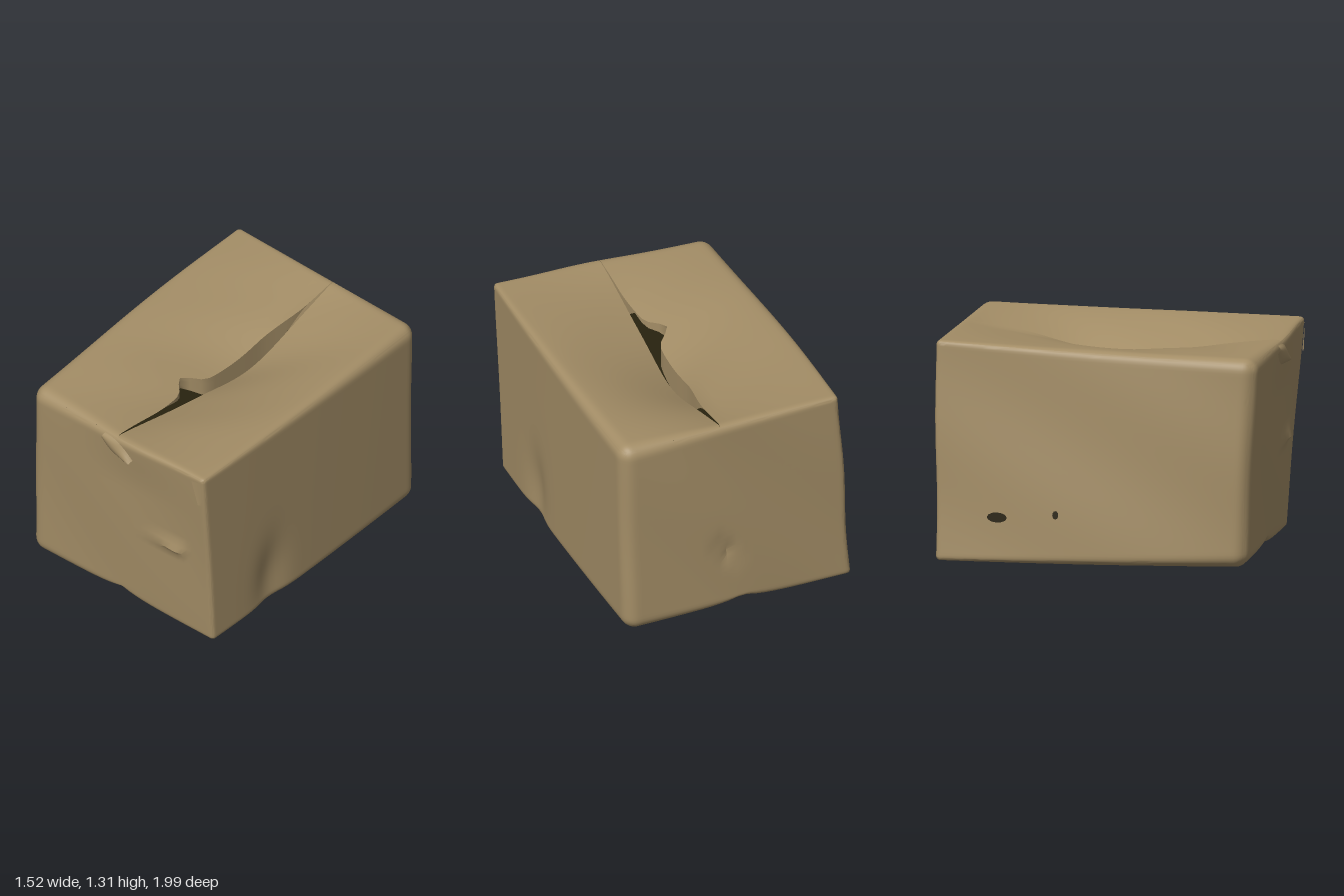
import * as THREE from 'three';
import { mergeVertices, toCreasedNormals } from 'three/addons/utils/BufferGeometryUtils.js';

const HALF = [0.7, 0.64, 0.93];
const gauss = (d, w) => Math.exp(-((d / w) ** 2));
const step = THREE.MathUtils.smoothstep;
const lerp = THREE.MathUtils.lerp;
const ease = (c) => Math.sin((c * Math.PI) / 2);

// Skewed carton corners, keyed by the signs of x, y, z
const CORNERS = {
  '-1,-1,-1': [-0.71, 0.03, -0.99], '1,-1,-1': [0.725, 0.01, -0.97],
  '-1,-1,1': [-0.71, 0.035, 0.85], '1,-1,1': [0.67, 0.02, 0.87],
  '-1,1,-1': [-0.63, 1.325, -1.0], '1,1,-1': [0.75, 1.305, -0.95],
  '-1,1,1': [-0.67, 1.265, 0.9], '1,1,1': [0.68, 1.275, 0.975],
};

// Maps a point of the unit cube (-1..1) onto the battered carton
function warp(px, py, pz) {
  const p = [px, py, pz];
  const r = 0.055 - 0.03 * px * pz;
  const inner = p.map((c, i) => THREE.MathUtils.clamp(c * HALF[i], r - HALF[i], HALF[i] - r));
  const d = p.map((c, i) => c * HALF[i] - inner[i]);
  const len = Math.hypot(...d) || 1;
  const [u, v, w] = inner.map((c, i) => (c + (d[i] * r) / len) / HALF[i]);
  let x = 0, y = 0, z = 0;
  for (const key in CORNERS) {
    const [a, b, c] = key.split(',').map(Number);
    const k = ((1 + a * u) * (1 + b * v) * (1 + c * w)) / 8;
    x += k * CORNERS[key][0];
    y += k * CORNERS[key][1];
    z += k * CORNERS[key][2];
  }
  const right = step(u, 0.85, 1), left = step(-u, 0.85, 1);
  const front = step(w, 0.85, 1), back = step(-w, 0.85, 1), under = step(-v, 0.85, 1);
  // Bulged sides, with a dent low on one of them
  x += right * (0.012 * (1 - w * w) - 0.035 * gauss(z - 0.35, 0.12) * gauss(y - 0.2, 0.25));
  x -= left * (0.05 * (1 - w * w) * (1 - 0.6 * v) * 0.75 + 0.005 * Math.sin(7 * y + 4 * z));
  // Front: pinched ridge and lifted upper edge
  const ridge = step(x, 0.12, 0.45) * (1 - step(x, 0.46, 0.5));
  z += front * (0.035 * ridge * gauss(y - 0.62, 0.03) + 0.02 * gauss(x - 0.1, 0.3) * step(v, 0.4, 1));
  z += front * 0.006 * Math.sin(5 * x + 3 * y) * (1 - v * v);
  // Back: shallow creases
  z += back * (0.03 * gauss(x - 0.08 - (y - 0.4) * 0.4, 0.04) * gauss(y - 0.42, 0.1)
    + 0.008 * Math.sin(6 * x - 4 * y) * (1 - v * v));
  // Underside: two flaps meeting at a raised seam
  y += under * (0.035 * Math.exp(-Math.abs(x) / 0.1) + (x < -0.001 ? 0.018 * Math.exp(x / 0.15) : 0));
  return [x, y, z];
}

// Grid surface from a rule; faces along dt x ds
function sheet(ns, nt, fn) {
  const pos = [], index = [];
  for (let j = 0; j <= nt; j++) {
    for (let i = 0; i <= ns; i++) pos.push(...fn(i / ns, j / nt));
  }
  for (let j = 0; j < nt; j++) {
    for (let i = 0; i < ns; i++) {
      const a = j * (ns + 1) + i, b = a + ns + 1;
      index.push(a, b, a + 1, b, b + 1, a + 1);
    }
  }
  const g = new THREE.BufferGeometry();
  g.setAttribute('position', new THREE.Float32BufferAttribute(pos, 3));
  g.setIndex(index);
  g.computeVertexNormals();
  return g;
}

// Edges of the slit between the top flaps, by z
function slitLeft(z) {
  const gap = 0.045 * step(z, -0.68, -0.3) * (1 - step(z, 0.25, 0.65));
  return slitRight(z) - gap - 0.1 * gauss(z - 0.24, 0.075);
}
function slitRight(z) {
  return 0.07 - 0.05 * step(z, -0.6, 0.8);
}

// Sagging top flap point; u is the cube x
function topPoint(u, w, depth, centre) {
  const p = warp(u, 1, w);
  const along = Math.max(0, 1 - w * w) * (0.6 + 0.4 * gauss(w - centre, 0.5));
  p[1] -= depth * along * Math.max(0, 1 - Math.abs(u)) ** 1.5;
  p[1] += 0.004 * Math.sin(9 * w + 5 * u) * (1 - w * w) * (1 - u * u);
  return p;
}

export function createModel() {
  const model = new THREE.Group();
  const cardboard = new THREE.MeshStandardMaterial({ color: 0xa38d66, side: THREE.DoubleSide });
  cardboard.name = 'cardboard';
  const shade = new THREE.MeshStandardMaterial({ color: 0x28220f, side: THREE.DoubleSide });
  shade.name = 'darkInside';
  const add = (name, geometry, material = cardboard) => {
    const mesh = new THREE.Mesh(geometry, material);
    mesh.name = name;
    model.add(mesh);
    return mesh;
  };

  // Walls and underside: a warped box without its top
  let body = new THREE.BoxGeometry(2, 2, 2, 40, 48, 60);
  const lid = body.groups[2];
  body.setIndex([...body.index.array].filter((_, i) => i < lid.start || i >= lid.start + lid.count));
  body.clearGroups();
  body.deleteAttribute('normal');
  body.deleteAttribute('uv');
  body = mergeVertices(body);
  const pos = body.attributes.position;
  for (let i = 0; i < pos.count; i++) {
    pos.setXYZ(i, ...warp(ease(pos.getX(i)), ease(pos.getY(i)), ease(pos.getZ(i))));
  }
  add('boxWalls', toCreasedNormals(body, 0.7));

  // Top flaps, sagging toward the open slit
  const rowZ = (t) => ease(2 * t - 1);
  const leftEdge = (w) => slitLeft(w * HALF[2]) / HALF[0] - 0.02;
  const rightEdge = (w) => slitRight(w * HALF[2]) / HALF[0] - 0.02;
  add('topFlapRight', sheet(24, 60, (s, t) => {
    const w = rowZ(t);
    return topPoint(lerp(-1, leftEdge(w), 1 - Math.cos((s * Math.PI) / 2)), w, 0.13, 0);
  }));
  add('topFlapLeft', sheet(24, 60, (s, t) => {
    const w = rowZ(t);
    return topPoint(lerp(rightEdge(w), 1, Math.sin((s * Math.PI) / 2)), w, 0.23, -0.25);
  }));

  // Bent lip hanging from one flap into the slit
  add('slitLip', sheet(3, 60, (s, t) => {
    const w = rowZ(t);
    const p = topPoint(leftEdge(w), w, 0.13, 0);
    p[1] -= s * 0.16 * step(w, -0.75, -0.4) * (1 - step(w, -0.1, 0.6));
    return p;
  }));

  // Dark interior below the slit
  const inside = add('darkInterior', new THREE.PlaneGeometry(1.2, 1.7), shade);
  inside.rotation.x = -Math.PI / 2;
  inside.position.y = 0.88;

  // Torn, curled tongue at the top of the front
  add('tornTongue', sheet(12, 6, (s, t) => {
    const half = 0.012 + 0.04 * Math.sin(Math.PI * Math.min(1, s * 0.85 + 0.1));
    const x = -0.1 + 0.22 * s + (t - 0.5) * -half;
    const y = 1.235 - 0.1 * s - (t - 0.5) * 2 * half;
    const p = warp(x / 0.68, (y - 0.65) / 0.63, 1);
    p[2] += 0.002 + 0.035 * Math.sin(Math.PI * t) * (0.3 + 0.7 * s);
    return p;
  }));

  // Folded tab at the upper front corner
  add('cornerTab', sheet(3, 8, (s, t) => {
    const p = warp(lerp(0.88 + 0.06 * t, 0.97, s), lerp(0.95, 0.68, t), 1);
    p[2] += 0.012 * (1 - s) + 0.004;
    return p;
  }));

  // Small punctures low on one side
  for (const [z, y, rz, ry] of [[-0.61, 0.3, 0.06, 0.03], [-0.26, 0.33, 0.018, 0.025]]) {
    add('puncture', sheet(4, 12, (s, t) => {
      const a = t * Math.PI * 2;
      const p = warp(-1, (y + ry * s * Math.sin(a) - 0.67) / 0.64, (z + rz * s * Math.cos(a) + 0.05) / HALF[2]);
      p[0] -= 0.004;
      return p;
    }), shade);
  }
  return model;
}
